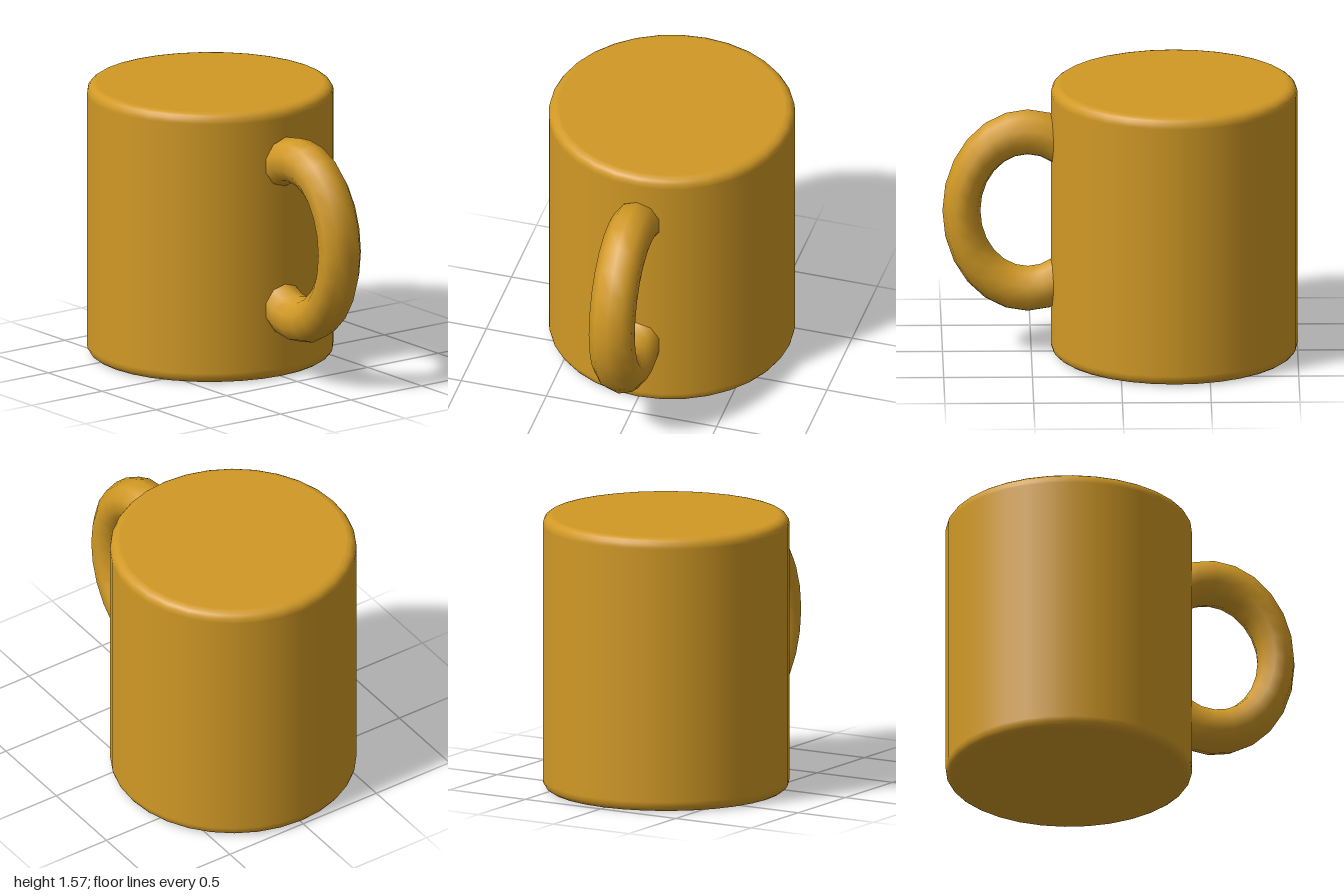
import * as THREE from 'three';

export function createModel() {
  const group = new THREE.Group();
  group.name = 'mug';
  const ochre = new THREE.MeshStandardMaterial({ color: 0xd19925 });
  ochre.name = 'ochre';

  // Solid body: a turned profile with rounded rims and flat ends
  const radius = 0.695, height = 1.573, bevel = 0.05, steps = 4;
  const profile = [new THREE.Vector2(0, 0), new THREE.Vector2(radius - bevel - 0.004, 0)];
  const corner = (y, from) => {
    for (let i = 0; i <= steps; i++) {
      const a = from + (i / steps) * Math.PI / 2;
      profile.push(new THREE.Vector2(radius - bevel + bevel * Math.cos(a), y + bevel * Math.sin(a)));
    }
  };
  corner(bevel, -Math.PI / 2);
  // Support rings keep the wall shading straight
  profile.push(new THREE.Vector2(radius, bevel + 0.01), new THREE.Vector2(radius, height - bevel - 0.01));
  corner(height - bevel, 0);
  profile.push(new THREE.Vector2(radius - bevel - 0.004, height), new THREE.Vector2(0, height));
  const body = new THREE.Mesh(new THREE.LatheGeometry(profile, 32), ochre);
  body.name = 'body';
  body.position.x = -0.305;
  group.add(body);

  // Handle: a narrowed ring whose open ends sit inside the body
  const ring = new THREE.TorusGeometry(0.461, 0.132, 10, 18, Math.PI * 1.5);
  ring.rotateZ(-Math.PI * 0.75);
  ring.scale(0.81, 1, 1);
  const handle = new THREE.Mesh(ring, ochre);
  handle.name = 'handle';
  handle.position.set(0.52, 0.831, 0);
  group.add(handle);

  return group;
}
